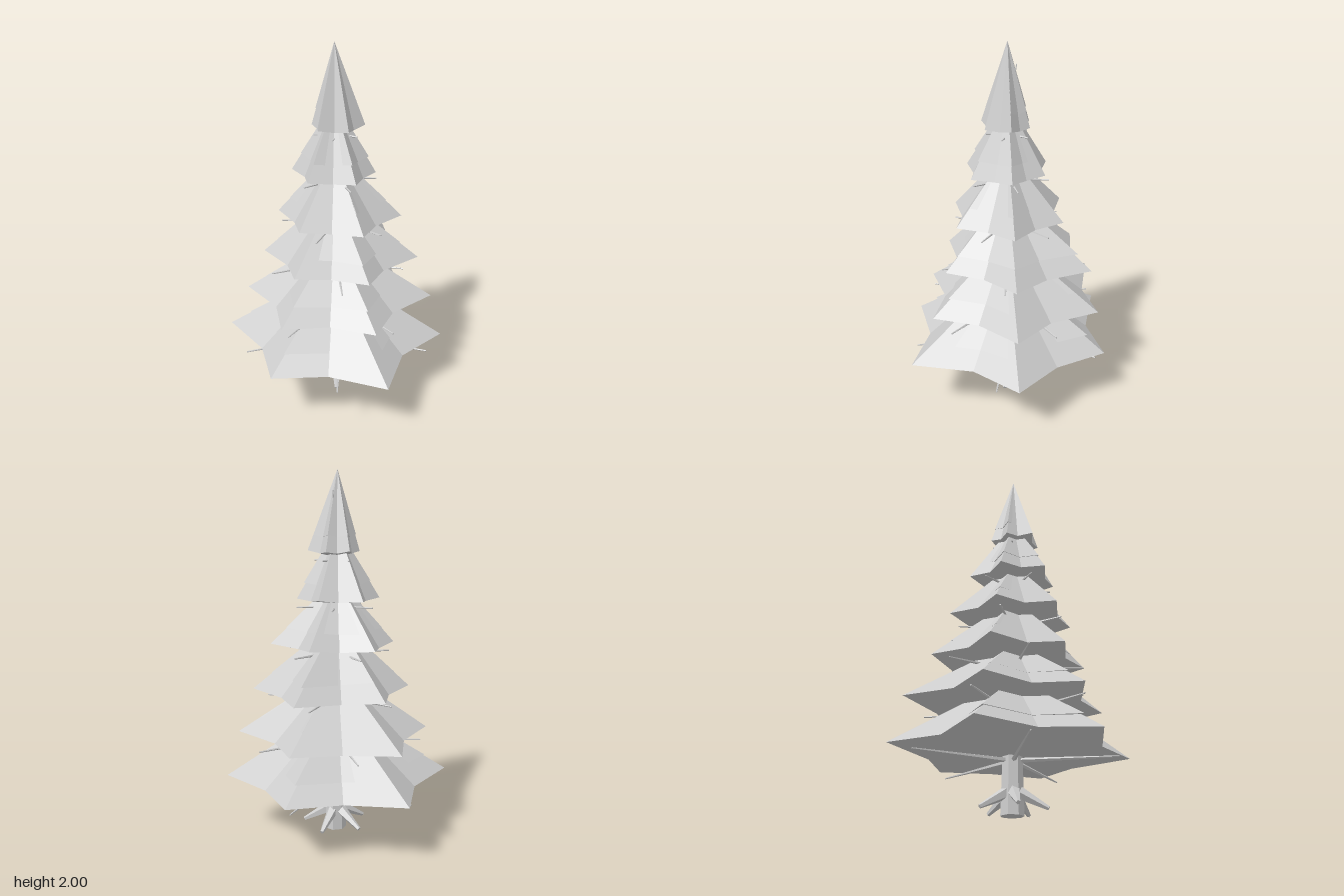
import * as THREE from 'three';

const needle = new THREE.MeshStandardMaterial({ color: 0xcccccc, flatShading: true });
needle.name = 'pale grey';

// small seeded generator for hand-cut irregularity
let seed = 7;
const rand = (lo, hi) => {
  seed = (seed * 16807) % 2147483647;
  return lo + (hi - lo) * (seed / 2147483647);
};

const polar = (deg, r, y) => {
  const a = THREE.MathUtils.degToRad(deg);
  return new THREE.Vector3(Math.cos(a) * r, y, Math.sin(a) * r);
};

// six-pointed skirt: star rim joined to an apex above and a shallow cone below
function starSkirt(tips, y, height, innerScale, drop) {
  const rim = [];
  for (let i = 0; i < 6; i++) {
    const next = tips[(i + 1) % 6];
    rim.push(polar(i * 60, tips[i], y + rand(-0.002, 0.008)));
    rim.push(polar(i * 60 + 30, ((tips[i] + next) / 2) * innerScale * rand(0.96, 1.04), y - 0.008));
  }
  const apex = new THREE.Vector3(-0.01, y + height, -0.006);
  const base = new THREE.Vector3(0, y - drop, 0);
  const points = [];
  rim.forEach((p, i) => {
    const q = rim[(i + 1) % rim.length];
    points.push(apex, q, p, base, p, q);
  });
  const geo = new THREE.BufferGeometry().setFromPoints(points);
  geo.computeVertexNormals();
  return geo;
}

// tapered stick between two points
function stick(from, to, r0, r1, sides) {
  const dir = to.clone().sub(from);
  const geo = new THREE.CylinderGeometry(r1, r0, dir.length(), sides);
  geo.applyQuaternion(new THREE.Quaternion().setFromUnitVectors(new THREE.Vector3(0, 1, 0), dir.normalize()));
  const mid = from.clone().add(to).multiplyScalar(0.5);
  return geo.translate(mid.x, mid.y, mid.z);
}

export function createModel() {
  const tree = new THREE.Group();
  tree.name = 'firTree';
  const add = (name, geo, parent = tree) => {
    const mesh = new THREE.Mesh(geo, needle);
    mesh.name = name;
    parent.add(mesh);
  };

  // trunk, mostly hidden inside the foliage
  add('trunk', stick(new THREE.Vector3(0.005, 0, 0), new THREE.Vector3(0, 1.8, 0), 0.062, 0.008, 7));

  // five spreading roots
  const roots = new THREE.Group();
  roots.name = 'roots';
  tree.add(roots);
  for (let i = 0; i < 5; i++) {
    add('root', stick(polar(i * 72, 0.03, 0.115), polar(i * 72, 0.18, 0.032), 0.034, 0.011, 5), roots);
  }

  // foliage tiers: tip radii every 60 degrees starting at +x
  const tiers = [
    { y: 0.325, h: 0.4, tips: [0.59, 0.61, 0.645, 0.6, 0.63, 0.645], branch: 0.54, turn: 0 },
    { y: 0.575, h: 0.36, tips: [0.54, 0.54, 0.5, 0.5, 0.515, 0.58], branch: 0.475, turn: 33 },
    { y: 0.82, h: 0.38, tips: [0.49, 0.455, 0.41, 0.38, 0.41, 0.445], branch: 0.38, turn: -4 },
    { y: 1.07, h: 0.36, tips: [0.32, 0.355, 0.335, 0.33, 0.32, 0.355], branch: 0.3, turn: 21 },
    { y: 1.32, h: 0.38, tips: [0.21, 0.21, 0.24, 0.25, 0.24, 0.25], branch: 0.215, turn: -20 },
    { y: 1.57, h: 0.43, tips: [0.12, 0.15, 0.15, 0.16, 0.13, 0.13], branch: 0.12, turn: 10 },
  ];

  tiers.forEach(({ y, h, tips, branch, turn }, n) => {
    const tier = new THREE.Group();
    tier.name = `tier${n + 1}`;
    tree.add(tier);
    add('skirt', starSkirt(tips, y, h, 0.74, 0.03), tier);

    // smaller overlapping skirt that breaks through the first in places
    const upper = tips.map((r) => r * rand(0.74, 0.84));
    add('upperSkirt', starSkirt(upper, y + 0.085, h - 0.085, 0.74, 0.01), tier);

    // five thin bare branches just below the skirt
    for (let i = 0; i < 5; i++) {
      const a = turn + i * 72;
      add('branch', stick(polar(a, 0, y - 0.047), polar(a, branch, y - 0.047), 0.014 - n * 0.001, 0.004, 5), tier);
    }
  });

  // tiny twig beside the crown
  add('crownTwig', stick(new THREE.Vector3(0.02, 1.78, 0), new THREE.Vector3(0.042, 1.89, -0.004), 0.005, 0.003, 5));

  return tree;
}
